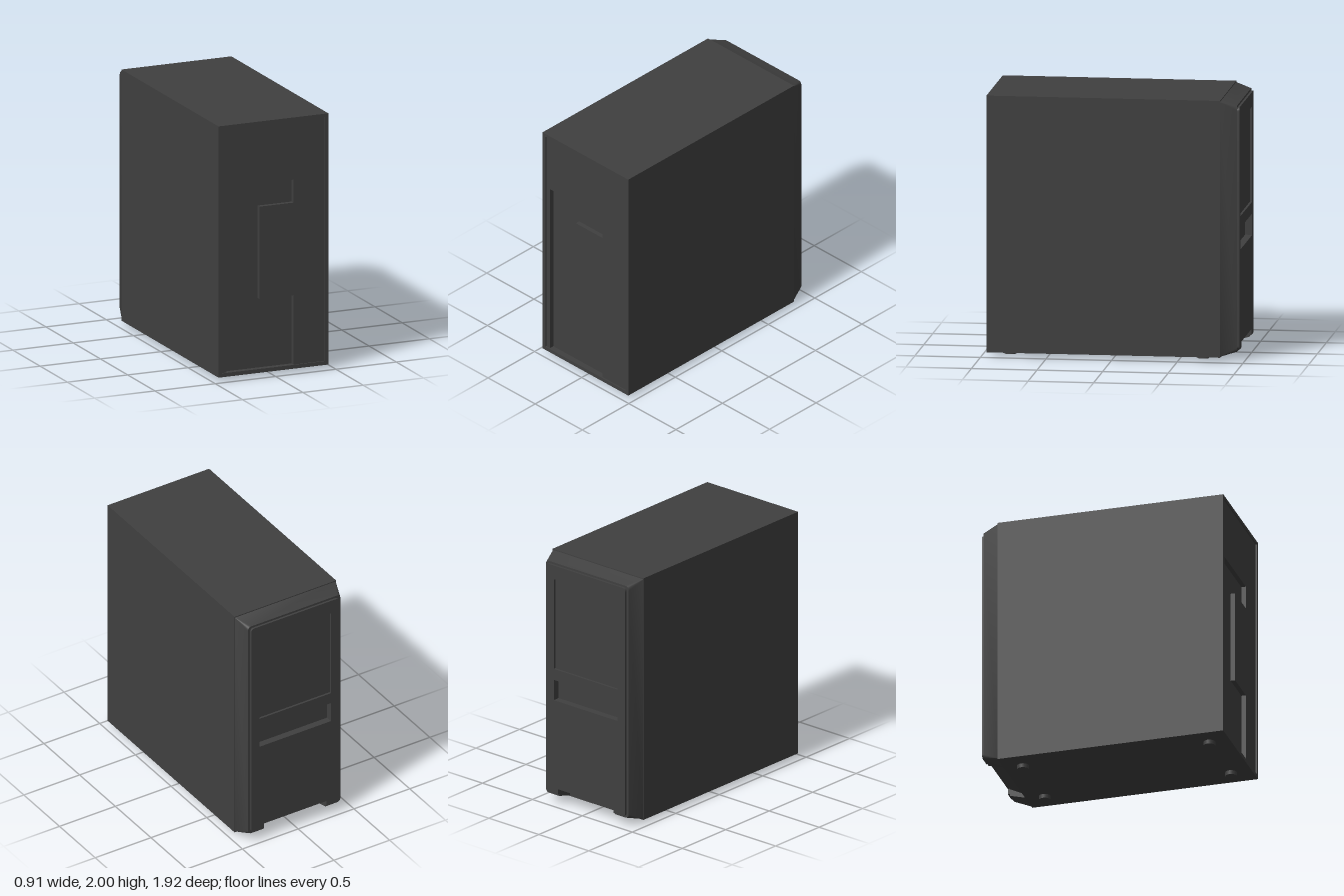
import * as THREE from 'three';
import { toCreasedNormals } from 'three/addons/utils/BufferGeometryUtils.js';

const material = new THREE.MeshStandardMaterial({ color: 0x404040 });

// Rounded rectangle with a notch (half width 0.28) in its lower edge.
function notchedOutline(halfW, y0, y1, r, notchTop) {
  const s = new THREE.Shape();
  s.moveTo(-halfW + r, y0);
  s.lineTo(-0.28, y0);
  s.lineTo(-0.28, notchTop);
  s.lineTo(0.28, notchTop);
  s.lineTo(0.28, y0);
  s.lineTo(halfW - r, y0);
  s.quadraticCurveTo(halfW, y0, halfW, y0 + r);
  s.lineTo(halfW, y1 - r);
  s.quadraticCurveTo(halfW, y1, halfW - r, y1);
  s.lineTo(-halfW + r, y1);
  s.quadraticCurveTo(-halfW, y1, -halfW, y1 - r);
  s.lineTo(-halfW, y0 + r);
  s.quadraticCurveTo(-halfW, y0, -halfW + r, y0);
  return s;
}

function polygon(points, Type = THREE.Shape) {
  return new Type(points.map(([x, y]) => new THREE.Vector2(x, y)));
}

const rect = (w, y0, y1) => [[-w, y0], [w, y0], [w, y1], [-w, y1]];

// Prism of a shape between two z planes.
function slab(shape, z0, z1) {
  const g = new THREE.ExtrudeGeometry(shape, { depth: z1 - z0, bevelEnabled: false, curveSegments: 5 });
  g.translate(0, 0, z0);
  return toCreasedNormals(g, 0.6);
}

// Side skin joining two matching outlines.
function loft(shapeA, zA, shapeB, zB) {
  const a = shapeA.getPoints(5), b = shapeB.getPoints(5);
  const pos = [];
  for (let i = 0; i < a.length - 1; i++) {
    const p = [a[i].x, a[i].y, zA], q = [a[i + 1].x, a[i + 1].y, zA];
    const s = [b[i].x, b[i].y, zB], t = [b[i + 1].x, b[i + 1].y, zB];
    pos.push(...p, ...s, ...q, ...q, ...s, ...t);
  }
  const g = new THREE.BufferGeometry();
  g.setAttribute('position', new THREE.Float32BufferAttribute(pos, 3));
  return toCreasedNormals(g, 0.6);
}

export function createModel() {
  const model = new THREE.Group();
  model.name = 'computerTower';
  const add = (name, geometry, x = 0, y = 0, z = 0) => {
    const mesh = new THREE.Mesh(geometry, material);
    mesh.name = name;
    mesh.position.set(x, y, z);
    model.add(mesh);
  };

  // Case and the raised rim round its connector side
  add('caseBody', new THREE.BoxGeometry(0.91, 1.968, 1.735), 0, 1.016, 0.0475);
  const rim = polygon(rect(0.455, 0.032, 2));
  rim.holes.push(polygon(rect(0.425, 0.062, 1.975), THREE.Path));
  add('caseRim', slab(rim, 0.915, 0.96));

  // Connector panel, leaving a C-shaped recess open at the bottom
  add('connectorPanel', slab(polygon([
    [-0.425, 0.062], [-0.385, 0.062], [-0.385, 1.51], [0.17, 1.51],
    [0.17, 1.33], [-0.11, 1.33], [-0.11, 0.605], [0.17, 0.605],
    [0.17, 0.062], [0.425, 0.062], [0.425, 1.975], [-0.425, 1.975],
  ]), 0.915, 0.95));

  // Tapered bezel with an air channel underneath
  const bezelBase = notchedOutline(0.452, 0.038, 1.992, 0.006, 0.065);
  const bezelTip = notchedOutline(0.415, 0.07, 1.958, 0.035, 0.125);
  add('bezelSides', loft(bezelBase, -0.82, bezelTip, -0.943));
  const slot = () => polygon(rect(0.32, 0.845, 1.01), THREE.Path);
  bezelTip.holes.push(slot());
  add('bezelFace', slab(bezelTip, -0.943, -0.905));
  add('slotFloor', new THREE.BoxGeometry(0.68, 0.2, 0.02), 0, 0.9275, -0.895);

  // Door plate with a shallow bay window and the drive slot
  const door = notchedOutline(0.395, 0.085, 1.942, 0.03, 0.13);
  door.holes.push(polygon(rect(0.32, 1.1, 1.83), THREE.Path), slot());
  add('doorPlate', slab(door, -0.96, -0.943));

  // Feet
  for (const x of [-0.285, 0.285])
    for (const z of [-0.67, 0.8])
      add('foot', new THREE.CylinderGeometry(0.045, 0.045, 0.036, 24), x, 0.018, z);

  return model;
}
